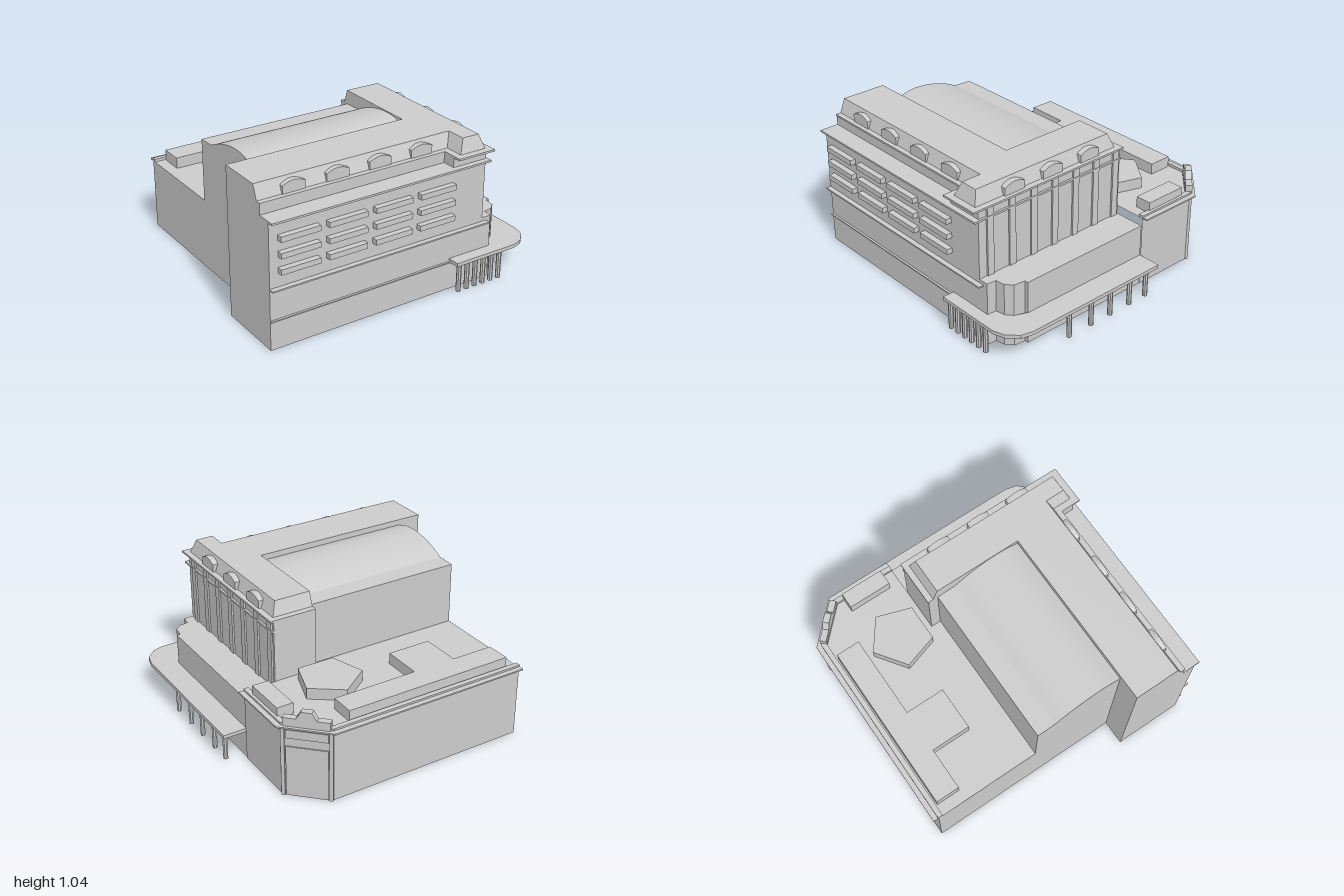
import * as THREE from 'three';

const mat = new THREE.MeshStandardMaterial({ color: 0xcccccc, flatShading: true, side: THREE.DoubleSide });

export function createModel() {
  const root = new THREE.Group();

  const add = (name, geometry, parent = root) => {
    const mesh = new THREE.Mesh(geometry, mat);
    mesh.name = name;
    parent.add(mesh);
    return mesh;
  };
  const group = (name) => {
    const g = new THREE.Group();
    g.name = name;
    root.add(g);
    return g;
  };
  // Box from its minimum and maximum corners
  const box = (name, x0, x1, y0, y1, z0, z1, parent) => {
    const mesh = add(name, new THREE.BoxGeometry(x1 - x0, y1 - y0, z1 - z0), parent);
    mesh.position.set((x0 + x1) / 2, (y0 + y1) / 2, (z0 + z1) / 2);
    return mesh;
  };
  // Plan outlines are lists of [x, z]
  const plan = (pts) => new THREE.Shape(pts.map(([x, z]) => new THREE.Vector2(x, -z)));
  const cap = (name, pts, y) => add(name, new THREE.ShapeGeometry(plan(pts)).rotateX(-Math.PI / 2).translate(0, y, 0));
  const slab = (name, pts, y0, y1, hole, parent) => {
    const shape = plan(pts);
    if (hole) shape.holes.push(plan(hole));
    const g = new THREE.ExtrudeGeometry(shape, { depth: y1 - y0, bevelEnabled: false });
    return add(name, g.rotateX(-Math.PI / 2).translate(0, y0, 0), parent);
  };
  // Strip of wall between a lower and an upper plan line
  const walls = (name, low, y0, y1, high = low) => {
    const p = [];
    for (let i = 0; i + 1 < low.length; i++) {
      const a = [low[i][0], y0, low[i][1]], b = [low[i + 1][0], y0, low[i + 1][1]];
      const c = [high[i + 1][0], y1, high[i + 1][1]], d = [high[i][0], y1, high[i][1]];
      p.push(...a, ...b, ...c, ...a, ...c, ...d);
    }
    const g = new THREE.BufferGeometry();
    g.setAttribute('position', new THREE.Float32BufferAttribute(p, 3));
    g.computeVertexNormals();
    return add(name, g);
  };

  // Tower: shell left open below
  walls('towerFrontWall', [[-1, 0.915], [0.605, 0.915]], 0, 0.86);
  walls('towerRightWall', [[0.605, 0.915], [0.605, -0.27], [0.3, -0.27]], 0.44, 0.94);
  walls('towerLeftWall', [[-0.83, 0.43], [-1, 0.43], [-1, 0.915]], 0, 0.86);
  walls('towerUpperWall', [[-0.83, 0.43], [-1, 0.43], [-1, 0.82], [0.345, 0.82], [0.345, 0.915], [0.605, 0.915]], 0.86, 0.94);
  walls('towerInnerWall', [[0.3, -0.27], [0.3, 0.43]], 0.5, 0.94);

  // Mansard roof
  const eaves = [[-1, 0.79], [0.39, 0.79], [0.39, 0.925], [0.59, 0.925], [0.59, -0.235], [0.3, -0.235], [0.3, 0.43], [-1, 0.43], [-1, 0.79]];
  const ridge = [[-1, 0.75], [0.43, 0.75], [0.43, 0.89], [0.555, 0.89], [0.555, -0.2], [0.3, -0.2], [0.3, 0.43], [-1, 0.43], [-1, 0.75]];
  walls('mansardSlopes', eaves, 0.94, 1.04, ridge);
  cap('mansardTop', ridge.slice(0, -1), 1.04);

  // Cornices and string courses
  const trim = group('cornices');
  box('frontCornice', -1, 0.345, 0.855, 0.868, 0.81, 0.955, trim);
  box('pavilionLowerCornice', 0.345, 0.62, 0.855, 0.868, 0.9, 0.955, trim);
  box('rightLowerCornice', 0.59, 0.62, 0.855, 0.868, -0.27, 0.955, trim);
  box('eavesFront', -1, 0.345, 0.932, 0.945, 0.775, 0.825, trim);
  box('pavilionEaves', 0.345, 0.63, 0.932, 0.945, 0.78, 0.97, trim);
  box('rightEaves', 0.57, 0.63, 0.932, 0.945, -0.275, 0.97, trim);
  box('rearEaves', 0.3, 0.63, 0.932, 0.945, -0.275, -0.22, trim);
  box('upperStringCourse', -1, 0.64, 0.412, 0.422, 0.905, 0.95, trim);
  box('lowerStringCourse', -1, 0.345, 0.198, 0.206, 0.905, 0.93, trim);

  // Projecting window bands on the front
  const windows = group('windowBands');
  for (let c = 0; c < 4; c++)
    for (const y of [0.515, 0.622, 0.73]) {
      const x = -0.94 + c * 0.337;
      box('windowBand', x, x + 0.275, y, y + 0.037, 0.91, 0.955, windows);
    }

  // Pilasters along the right side
  const pilasters = group('pilasters');
  for (let i = 0; i < 7; i++) {
    const z = 0.83 - i * 0.176;
    box('pilaster', 0.6, 0.617, 0.45, 0.932, z - 0.025, z + 0.025, pilasters);
  }

  // Dormers with low arched heads
  const dormers = group('dormers');
  const head = new THREE.Shape();
  head.moveTo(-0.08, 0.94);
  head.lineTo(0.08, 0.94);
  head.lineTo(0.08, 0.998);
  head.quadraticCurveTo(0.04, 1.02, 0, 1.022);
  head.quadraticCurveTo(-0.04, 1.02, -0.08, 0.998);
  const dormer = new THREE.ExtrudeGeometry(head, { depth: 0.045, bevelEnabled: false, curveSegments: 3 });
  for (const x of [-0.75, -0.44, -0.13, 0.185]) add('frontDormer', dormer, dormers).position.set(x, 0, 0.75);
  for (const z of [0.625, 0.315, 0]) {
    const d = add('rightDormer', dormer, dormers);
    d.rotation.y = Math.PI / 2;
    d.position.set(0.56, 0, z);
  }

  // Curved hall roof behind the front range, with its walls
  const curve = new THREE.CatmullRomCurve3([[0.43, 1.0], [0.35, 1.025], [0.26, 1.033], [0.15, 1.022], [0.03, 0.99], [-0.07, 0.945]]
    .map(([z, y]) => new THREE.Vector3(0, y, z)));
  const profile = [...curve.getPoints(16), new THREE.Vector3(0, 0.94, -0.2)];
  const roofPos = [];
  for (let i = 0; i + 1 < profile.length; i++) {
    const a = profile[i], b = profile[i + 1], L = -0.83, R = 0.3;
    roofPos.push(L, a.y, a.z, R, a.y, a.z, R, b.y, b.z, L, a.y, a.z, R, b.y, b.z, L, b.y, b.z);
  }
  const roofGeo = new THREE.BufferGeometry();
  roofGeo.setAttribute('position', new THREE.Float32BufferAttribute(roofPos, 3));
  roofGeo.computeVertexNormals();
  add('hallRoof', roofGeo);
  const gable = new THREE.Shape([[0.2, 0.5], [-0.43, 0.5], ...profile.map((p) => [-p.z, p.y])].map(([x, y]) => new THREE.Vector2(x, y)));
  const side = add('hallGable', new THREE.ShapeGeometry(gable));
  side.rotation.y = Math.PI / 2;
  side.position.x = -0.83;
  walls('hallBackWall', [[0.3, -0.2], [-0.83, -0.2]], 0.5, 0.94);

  // Low rear block with a chamfered corner
  const edge = [[0.83, -0.27], [0.83, -0.73], [0.6, -0.96], [-0.83, -0.96]];
  walls('rearBlockWalls', [...edge, [-0.83, 0.43]], 0, 0.505);
  cap('rearBlockRoof', [...edge, [-0.83, -0.2], [0.3, -0.2], [0.3, -0.27]], 0.505);
  const inner = [[-0.83, -0.93], [0.585, -0.93], [0.8, -0.715], [0.8, -0.27]];
  slab('rearCornice', [[0.87, -0.27], [0.87, -0.74], [0.61, -1], [-0.83, -1], ...inner], 0.502, 0.512);
  slab('rearParapet', [[0.835, -0.27], [0.835, -0.73], [0.6, -0.965], [-0.83, -0.965], ...inner], 0.505, 0.525);

  // Entrance corner: panels and stepped pediment
  const corner = group('cornerEntrance');
  corner.position.set(0.715, 0, -0.845);
  corner.rotation.y = Math.PI * 0.75;
  box('entrancePanel', -0.135, 0.135, 0, 0.36, -0.01, 0.008, corner);
  box('signPanel', -0.135, 0.135, 0.42, 0.48, -0.01, 0.008, corner);
  for (const s of [-1, 1]) box('cornerPier', s * 0.153 - 0.012, s * 0.153 + 0.012, 0, 0.5, -0.01, 0.015, corner);
  const ped = [[-0.15, 0.505], [0.15, 0.505], [0.15, 0.57], [0.065, 0.57], [0.035, 0.622], [-0.035, 0.622], [-0.065, 0.57], [-0.15, 0.57]];
  add('pediment', new THREE.ExtrudeGeometry(new THREE.Shape(ped.map(([x, y]) => new THREE.Vector2(x, y))),
    { depth: 0.045, bevelEnabled: false }), corner).position.z = -0.03;

  // Rooftop volumes
  const roofUnits = group('roofUnits');
  slab('teeUnit', [[-0.75, -0.92], [0.46, -0.92], [0.46, -0.75], [-0.14, -0.75], [-0.14, -0.47], [-0.45, -0.47], [-0.45, -0.75], [-0.75, -0.75]],
    0.505, 0.583, null, roofUnits);
  slab('pentagonUnit', [[0.34, -0.71], [0.545, -0.56], [0.465, -0.32], [0.205, -0.32], [0.13, -0.56]], 0.505, 0.583, null, roofUnits);
  box('smallUnit', 0.7, 0.815, 0.505, 0.583, -0.66, -0.35, roofUnits);

  // Right wing with a rounded, stepped front corner
  const wing = [[0.605, 0.915], [0.675, 0.915], [0.68, 0.85], [0.745, 0.84], [0.79, 0.8], [0.8, 0.72], [0.825, 0.72], [0.825, -0.27]];
  walls('wingWalls', wing, 0, 0.447);
  cap('wingRoof', [...wing, [0.605, -0.27]], 0.447);

  // Canopy wrapping the corner, with posts
  slab('canopy', [[0.345, 1], [0.82, 1], [0.9, 0.975], [0.97, 0.905], [0.99, 0.82], [0.99, -0.27], [0.82, -0.27], [0.82, 0.72],
    [0.79, 0.8], [0.745, 0.84], [0.68, 0.85], [0.675, 0.91], [0.345, 0.91]], 0.2, 0.225);
  const posts = group('canopyPosts');
  const post = new THREE.CylinderGeometry(0.017, 0.017, 0.2, 8);
  for (let i = 0; i < 6; i++) add('frontPost', post, posts).position.set(0.385 + i * 0.067, 0.1, 0.972);
  for (const z of [0.485, 0.295, 0.125, -0.05, -0.2]) add('rightPost', post, posts).position.set(0.948, 0.1, z);

  return root;
}
